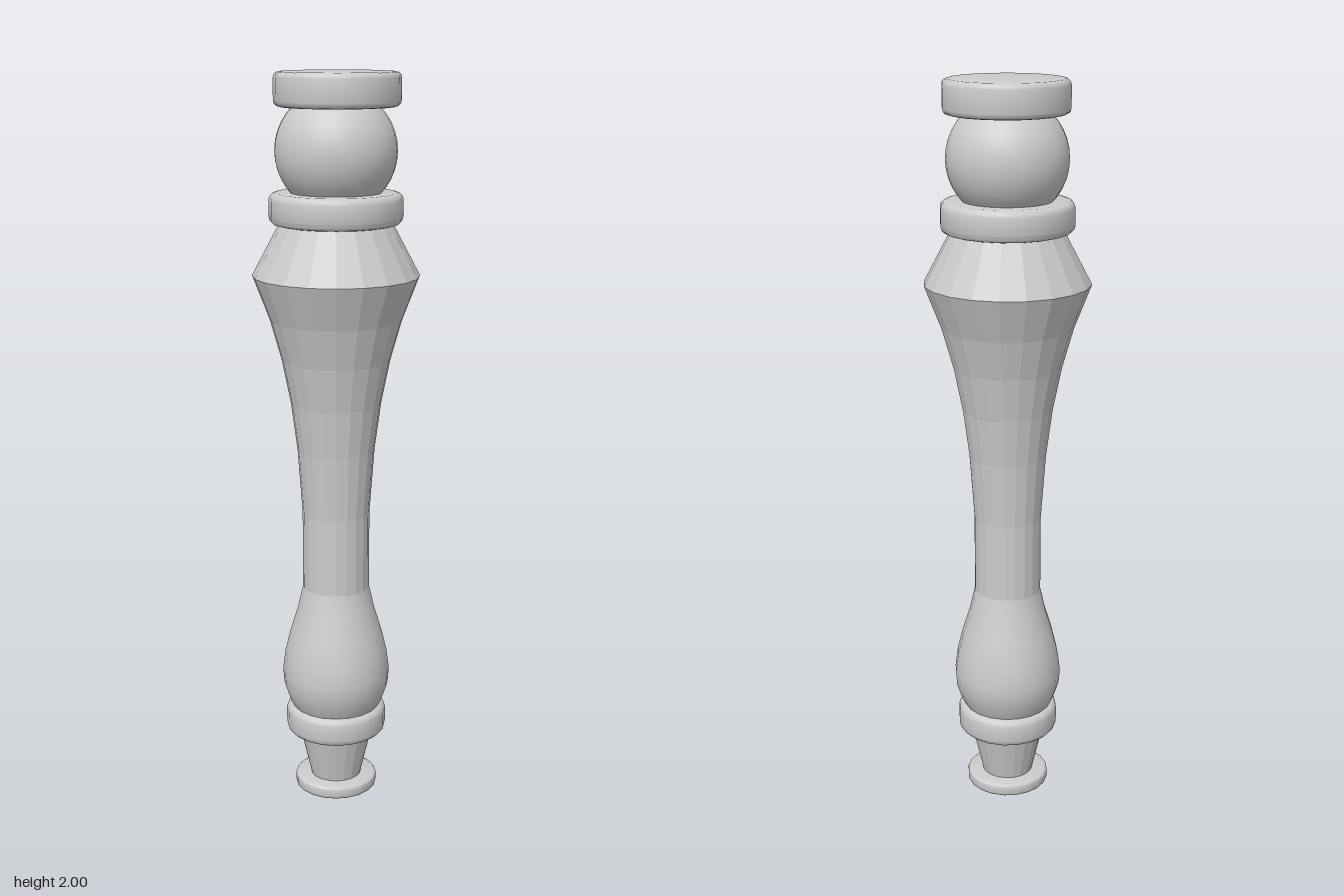
import * as THREE from 'three';
import { toCreasedNormals } from 'three/addons/utils/BufferGeometryUtils.js';

const SIDES = 20;

export function createModel() {
  const group = new THREE.Group();
  const smooth = new THREE.MeshStandardMaterial({ color: 0xcccccc });
  const faceted = new THREE.MeshStandardMaterial({ color: 0xcccccc, flatShading: true });

  const add = (name, geometry, material) => {
    const mesh = new THREE.Mesh(geometry, material);
    mesh.name = name;
    group.add(mesh);
    return mesh;
  };

  // Turned part from [radius, height] pairs, bottom to top
  const turned = (name, profile, material = faceted) => {
    const points = profile.map(([r, y]) => new THREE.Vector2(r, y));
    const geometry = new THREE.LatheGeometry(points, SIDES);
    return add(name, material === smooth ? toCreasedNormals(geometry, 0.7) : geometry, material);
  };

  // Closed disc with rounded rims
  const disc = (name, radius, y0, y1, fillet) => {
    const profile = [[0, y0]];
    for (const [y, start] of [[y0 + fillet, -Math.PI / 2], [y1 - fillet, 0]]) {
      for (let i = 0; i <= 3; i++) {
        const a = start + (i / 3) * (Math.PI / 2);
        profile.push([radius - fillet + fillet * Math.cos(a), y + fillet * Math.sin(a)]);
      }
    }
    profile.push([0, y1]);
    return turned(name, profile, smooth);
  };

  // Foot
  disc('footDisc', 0.115, 0, 0.035, 0.008);
  turned('footTaper', [[0.07, 0.03], [0.105, 0.18]]);
  disc('lowerCollar', 0.14, 0.173, 0.253, 0.018);

  // Lower bulb
  turned('bulb', [
    [0.115, 0.24], [0.132, 0.27], [0.147, 0.315], [0.15, 0.355], [0.143, 0.41],
    [0.127, 0.475], [0.107, 0.54], [0.092, 0.605],
  ], smooth);

  // Waist flaring out to the shoulder
  turned('shaft', [
    [0.092, 0.605], [0.092, 0.82], [0.105, 1.0], [0.122, 1.13],
    [0.146, 1.25], [0.177, 1.36], [0.222, 1.477],
  ]);
  turned('shoulder', [[0.222, 1.477], [0.146, 1.62]]);
  disc('upperCollar', 0.176, 1.612, 1.694, 0.018);

  // Ball and cap
  const ball = add('ball', new THREE.SphereGeometry(0.16, 32, 20), smooth);
  ball.position.y = 1.8;
  disc('cap', 0.165, 1.912, 2, 0.015).position.x = 0.004;

  return group;
}
